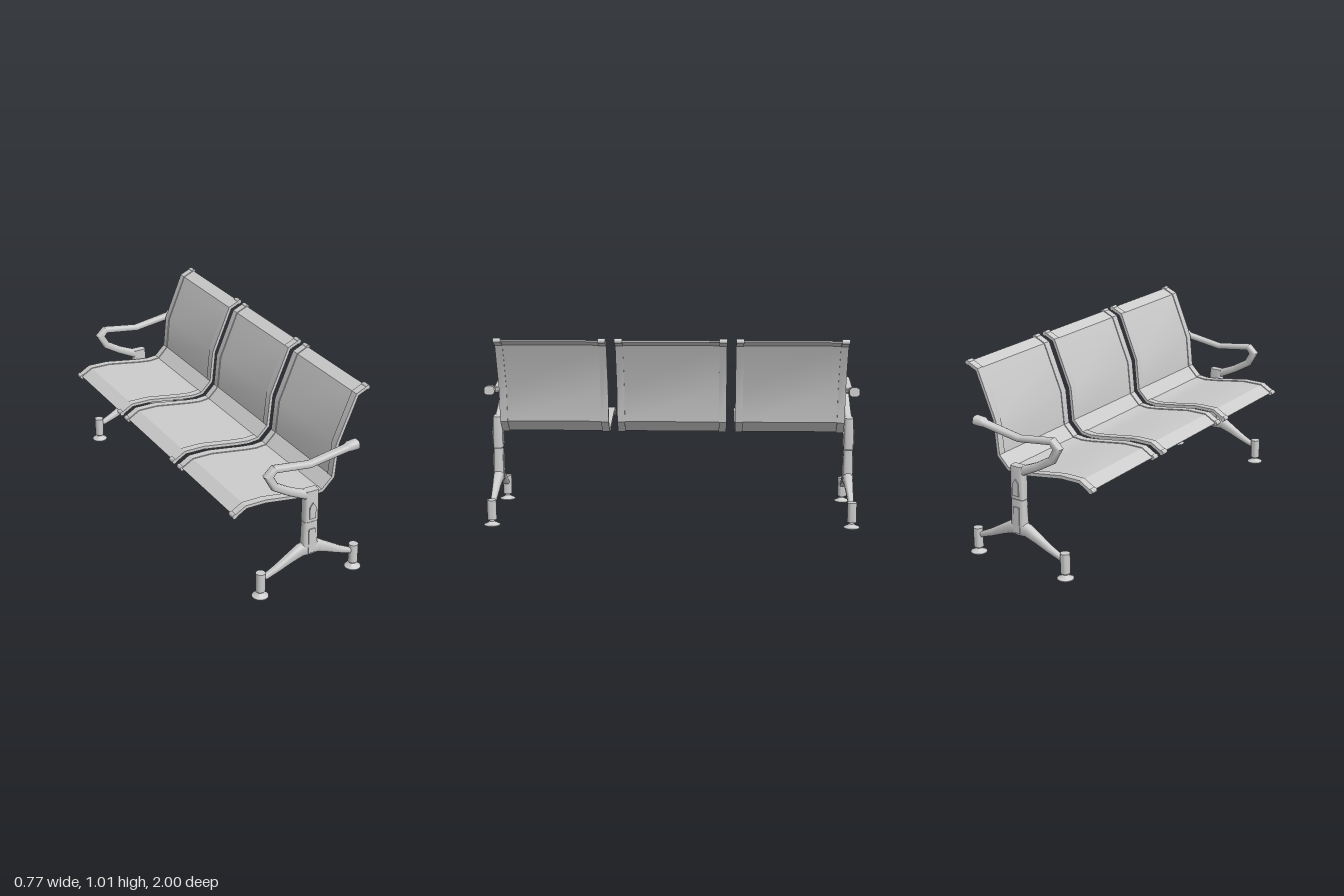
import * as THREE from 'three';
import { toCreasedNormals } from 'three/addons/utils/BufferGeometryUtils.js';

const mat = new THREE.MeshStandardMaterial({ color: 0xcccccc, side: THREE.DoubleSide });
const CX = 0.0325; // column axis

function add(parent, name, geo, x = 0, y = 0, z = 0) {
  const m = new THREE.Mesh(geo, mat);
  m.name = name;
  m.position.set(x, y, z);
  parent.add(m);
  return m;
}

// Normal of a polyline in the xy plane, mitred at the bends
function mitre(pts, i) {
  const dir = (a, b) => new THREE.Vector2(b[0] - a[0], b[1] - a[1]).normalize();
  const d0 = dir(pts[Math.max(i - 1, 0)], pts[Math.max(i, 1)]);
  const last = pts.length - 1;
  const d1 = dir(pts[Math.min(i, last - 1)], pts[Math.min(i + 1, last)]);
  const t = d0.clone().add(d1).normalize();
  return new THREE.Vector2(-t.y, t.x).divideScalar(Math.max(t.dot(d0), 0.6));
}

// Solid along stations [x, y, half height, half depth]; power below 1 squares the section
function loft(stations, sides = 12, power = 0.7) {
  const pos = [], idx = [];
  const soft = v => Math.sign(v) * Math.pow(Math.abs(v), power);
  stations.forEach(([x, y, h, d], i) => {
    const n = mitre(stations, i);
    for (let k = 0; k < sides; k++) {
      const a = (k + 0.5) / sides * Math.PI * 2;
      const u = soft(Math.cos(a)) * h;
      pos.push(x + n.x * u, y + n.y * u, soft(Math.sin(a)) * d);
    }
  });
  const rows = stations.length;
  for (let i = 0; i < rows - 1; i++) for (let k = 0; k < sides; k++) {
    const a = i * sides + k, b = i * sides + (k + 1) % sides;
    idx.push(a, b, a + sides, b, b + sides, a + sides);
  }
  for (let k = 1; k < sides - 1; k++) {
    const e = (rows - 1) * sides;
    idx.push(0, k + 1, k, e, e + k, e + k + 1);
  }
  const g = new THREE.BufferGeometry();
  g.setAttribute('position', new THREE.Float32BufferAttribute(pos, 3));
  g.setIndex(idx);
  return toCreasedNormals(g, 0.75);
}

// Bent strip of given thickness, extruded along z and centred on it
function strip(pts, thickness, width) {
  const top = [], bottom = [];
  pts.forEach((p, i) => {
    const n = mitre(pts, i).multiplyScalar(thickness / 2);
    top.push(new THREE.Vector2(p[0] + n.x, p[1] + n.y));
    bottom.unshift(new THREE.Vector2(p[0] - n.x, p[1] - n.y));
  });
  const g = new THREE.ExtrudeGeometry(new THREE.Shape([...top, ...bottom]), { depth: width, bevelEnabled: false });
  g.translate(0, 0, -width / 2);
  return toCreasedNormals(g, 0.5);
}

const profile = [
  [-0.373, 0.478], [-0.31, 0.515], [-0.2, 0.515], [0, 0.485], [0.07, 0.478], [0.13, 0.484],
  [0.191, 0.545], [0.209, 0.725], [0.312, 0.972], [0.372, 0.999],
];

function createSeat() {
  const seat = new THREE.Group();
  seat.name = 'seat';
  add(seat, 'seatPanel', strip(profile, 0.008, 0.52));
  for (const s of [-1, 1]) {
    add(seat, 'sideRim', strip(profile, 0.017, 0.04), 0, 0, s * 0.27);
    // rounded tips of the rim
    for (const [x, y] of [profile[0], profile[profile.length - 1]]) {
      const tip = new THREE.CylinderGeometry(0.013, 0.013, 0.04, 12).rotateX(Math.PI / 2);
      add(seat, 'rimTip', tip, x, y, s * 0.27);
    }
  }
  return seat;
}

function createEndFrame() {
  const frame = new THREE.Group();
  frame.name = 'endFrame';

  // Column in two sections with a fine joint
  add(frame, 'lowerColumn', loft([
    [CX, 0.19, 0.046, 0.026], [CX, 0.25, 0.041, 0.027], [CX, 0.364, 0.04, 0.024],
  ], 16, 0.45));
  add(frame, 'upperColumn', loft([
    [CX, 0.367, 0.04, 0.026], [CX, 0.47, 0.04, 0.026], [CX, 0.54, 0.039, 0.023],
  ], 16, 0.45));

  // Raised pointed plate and rib on both faces
  const plate = new THREE.Shape();
  plate.moveTo(-0.018, 0.385).lineTo(0.018, 0.385).lineTo(0.018, 0.45)
    .lineTo(0, 0.476).lineTo(-0.018, 0.45).closePath();
  add(frame, 'columnPlate', new THREE.ExtrudeGeometry(plate, { depth: 0.062, bevelEnabled: false }), CX, 0, -0.031);
  add(frame, 'columnRib', new THREE.BoxGeometry(0.036, 0.14, 0.06), CX, 0.255, 0);

  // Both spreading legs in one arched piece
  const half = [[0.255, 0.104, 0.015, 0.014], [0.185, 0.134, 0.02, 0.017],
    [0.115, 0.169, 0.026, 0.021], [0.05, 0.2, 0.034, 0.026]];
  const legs = [
    ...half.map(([x, y, h, d]) => [CX - x, y, h, d]),
    [CX, 0.205, 0.042, 0.028],
    ...half.slice().reverse().map(([x, y, h, d]) => [CX + x, y, h, d]),
  ];
  add(frame, 'legs', loft(legs));

  // Posts standing on flared feet
  const foot = [[0, 0], [0.043, 0], [0.043, 0.004], [0.018, 0.017], [0.014, 0.022], [0.014, 0.032],
    [0.025, 0.032], [0.025, 0.138], [0, 0.138]].map(p => new THREE.Vector2(...p));
  for (const s of [-1, 1]) {
    add(frame, 'foot', toCreasedNormals(new THREE.LatheGeometry(foot, 24), 0.6), CX + s * 0.278);
  }

  // Looping armrest
  add(frame, 'armrest', loft([
    [0.045, 0.515, 0.024, 0.022], [0, 0.519, 0.024, 0.022], [-0.09, 0.56, 0.021, 0.021],
    [-0.178, 0.612, 0.021, 0.021], [-0.214, 0.677, 0.021, 0.022], [-0.182, 0.71, 0.018, 0.022],
    [0.02, 0.683, 0.017, 0.021], [0.235, 0.717, 0.018, 0.023], [0.25, 0.722, 0.024, 0.028],
    [0.296, 0.725, 0.025, 0.028],
  ]));
  return frame;
}

export function createModel() {
  const bench = new THREE.Group();
  bench.name = 'bench';
  for (const i of [-1, 0, 1]) {
    const seat = createSeat();
    seat.position.z = i * 0.626;
    bench.add(seat);
  }
  for (const s of [-1, 1]) {
    const frame = createEndFrame();
    frame.position.z = s * 0.955;
    bench.add(frame);
  }
  return bench;
}
